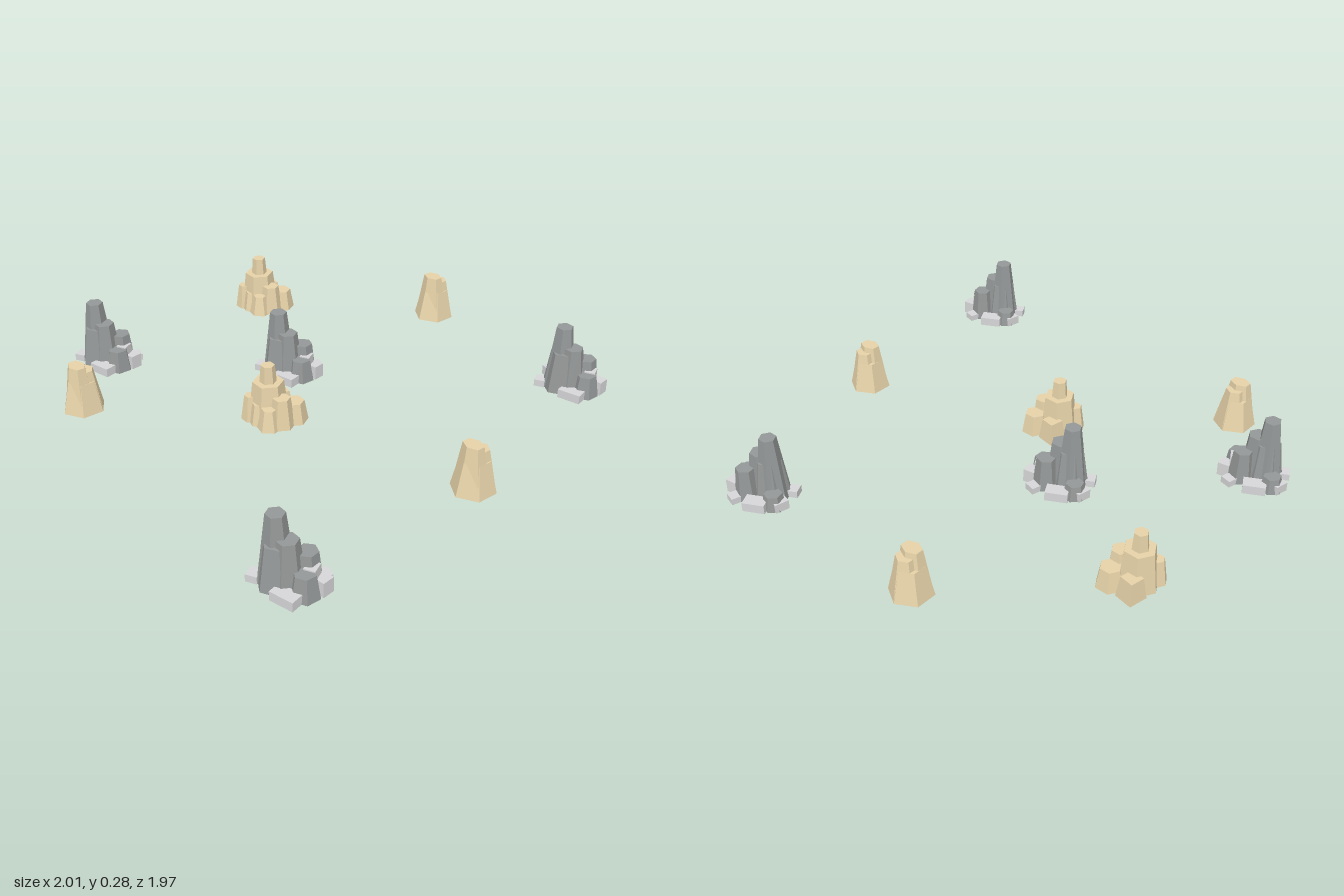
import * as THREE from 'three';

const mat = (name, color) => Object.assign(new THREE.MeshStandardMaterial({ color, flatShading: true }), { name });

export function createModel() {
  const root = new THREE.Group();
  root.name = 'rockField';
  const sand = mat('sandstone', 0xe6d2a8);
  const stone = mat('darkStone', 0x949797);
  const pale = mat('paleStone', 0xd6d6d8);
  const under = mat('underside', 0xc8c8c8);

  // Tapered column standing on the ground, with a grey underside
  function column(group, name, material, [x, z, rBottom, rTop, h, turn = 0, sides = 6, depth = 1]) {
    const geo = new THREE.CylinderGeometry(rTop, rBottom, h, sides);
    geo.rotateY(turn).scale(1, 1, depth).translate(x, h / 2, z);
    const mesh = new THREE.Mesh(geo, [material, material, under]);
    mesh.name = name;
    group.add(mesh);
  }

  // Flat loose slab lying on the ground
  function slab(group, [x, z, w, d, h, turn]) {
    const geo = new THREE.BoxGeometry(w, h, d).rotateY(turn).translate(x, h / 2, z);
    const mesh = new THREE.Mesh(geo, [pale, pale, pale, under, pale, pale]);
    mesh.name = 'slab';
    group.add(mesh);
  }

  // Dark crag: stepped columns ringed by pale slabs
  function crag() {
    const g = new THREE.Group();
    g.name = 'darkCrag';
    column(g, 'spire', stone, [-0.03, 0.034, 0.07, 0.036, 0.285, Math.PI / 6]);
    column(g, 'shoulder', stone, [0.018, 0.022, 0.066, 0.042, 0.2, Math.PI / 6]);
    column(g, 'frontStep', stone, [-0.018, 0.036, 0.08, 0.055, 0.175, 0]);
    column(g, 'backStep', stone, [0.045, -0.04, 0.055, 0.04, 0.14, 0.2]);
    column(g, 'rightStep', stone, [0.088, 0.004, 0.057, 0.042, 0.095, 0]);
    column(g, 'leftStep', stone, [-0.09, -0.018, 0.05, 0.038, 0.065, 0.3]);
    [
      [-0.045, -0.075, 0.095, 0.06, 0.04, 0.5],
      [0.06, -0.1, 0.05, 0.045, 0.028, -0.25],
      [-0.088, 0.088, 0.045, 0.05, 0.03, 0.5],
      [0.075, 0.075, 0.1, 0.055, 0.038, 0.25],
      [0.11, -0.055, 0.05, 0.05, 0.06, 0.15],
      [0.08, -0.032, 0.045, 0.05, 0.1, 0.5],
      [-0.115, -0.01, 0.05, 0.06, 0.04, -0.2],
    ].forEach((s) => slab(g, s));
    return g;
  }

  // Sandstone cluster: two-tier core with low columns around it
  function cluster() {
    const g = new THREE.Group();
    g.name = 'sandCluster';
    column(g, 'peak', sand, [-0.024, 0.018, 0.05, 0.029, 0.25, Math.PI / 6]);
    column(g, 'core', sand, [-0.024, 0.018, 0.085, 0.065, 0.175, Math.PI / 6]);
    [
      [0.055, 0.01, 0.055, 0.037, 0.13, Math.PI / 6],
      [0.05, -0.055, 0.06, 0.044, 0.09, Math.PI / 6],
      [-0.069, 0.076, 0.042, 0.026, 0.11, Math.PI / 6],
      [-0.02, 0.068, 0.045, 0.028, 0.09, 0.2],
      [0.04, 0.062, 0.052, 0.032, 0.09, 0.3],
      [-0.05, -0.058, 0.058, 0.043, 0.095, 0.6, 4],
    ].forEach((c) => column(g, 'sideColumn', sand, c));
    return g;
  }

  // Single sandstone stump: flared skirt, tall blade and a lower back shoulder
  function stump() {
    const g = new THREE.Group();
    g.name = 'sandStump';
    column(g, 'stumpSkirt', sand, [0, 0, 0.0915, 0.06, 0.135]);
    column(g, 'stumpBlade', sand, [0, 0.014, 0.085, 0.046, 0.205, 0, 6, 0.75]);
    column(g, 'stumpShoulder', sand, [0.005, -0.014, 0.075, 0.04, 0.18]);
    return g;
  }

  // Scatter the formations over a square grid
  const step = 0.287;
  const scatter = (make, cells) => cells.forEach(([i, k]) => {
    const g = make();
    g.position.set(i * step, 0, k * step);
    root.add(g);
  });
  scatter(crag, [[2, -3], [-1, 0], [-3, 2], [3, 3]]);
  scatter(cluster, [[-3, -1], [0, 1]]);
  scatter(stump, [[-1, -3], [3, 0], [-2, 3]]);
  return root;
}
